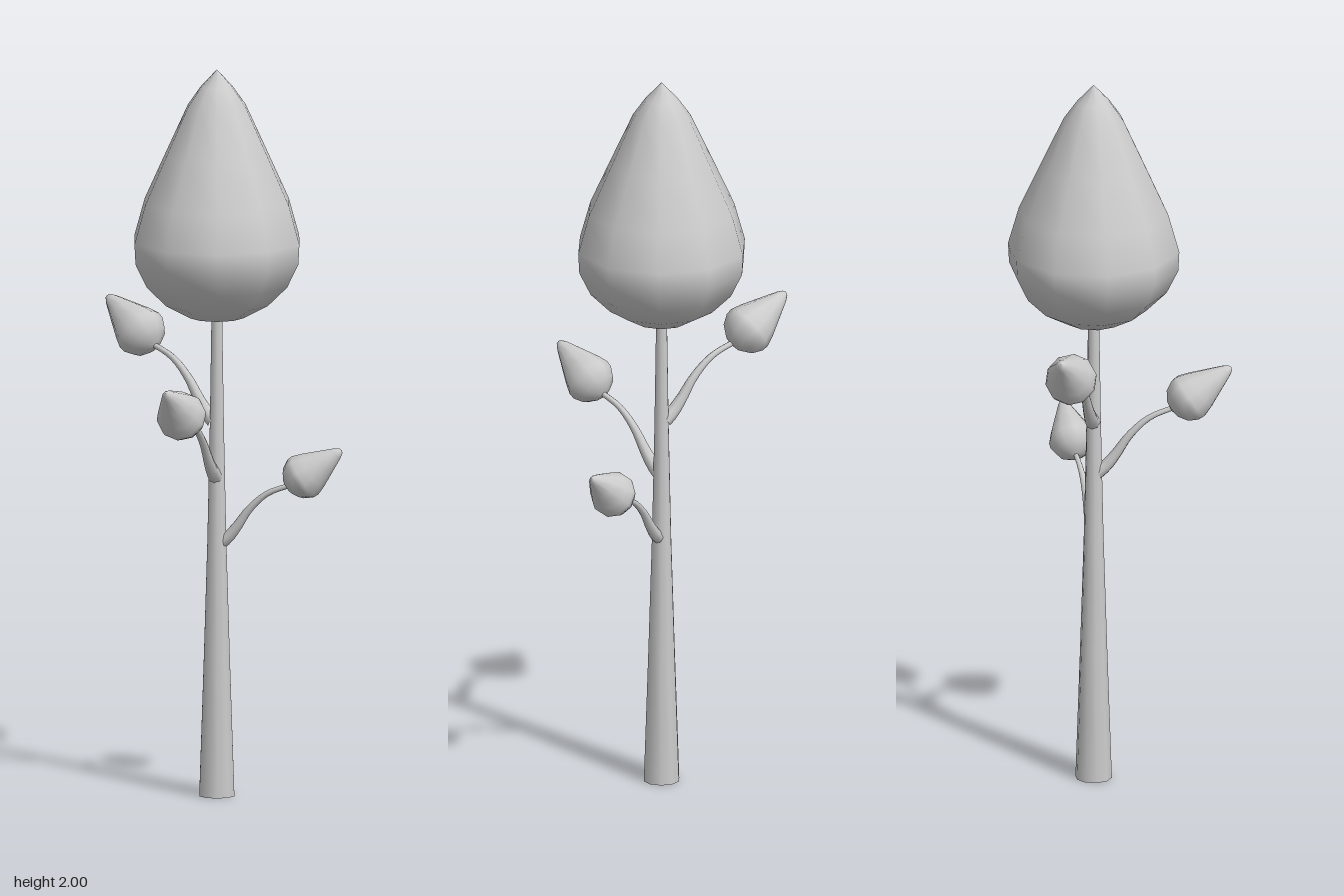
import * as THREE from 'three';

const SIDES = 10;
const material = new THREE.MeshStandardMaterial({ color: 0xcccccc });

// Smooth ten-sided solid turned from [radius, height] pairs, bottom to top
function turned(name, profile) {
  const points = profile.map(([r, y]) => new THREE.Vector2(r, y));
  const geometry = new THREE.LatheGeometry(points, SIDES);
  geometry.rotateY(Math.PI / 10); // a corner faces +x
  const mesh = new THREE.Mesh(geometry, material);
  mesh.name = name;
  return mesh;
}

// Tube whose rings shrink from r0 to r1 along the path
function taperedTube(name, path, r0, r1, segments = 14, sides = 8) {
  const geometry = new THREE.TubeGeometry(path, segments, 1, sides);
  const pos = geometry.attributes.position;
  const p = new THREE.Vector3();
  for (let i = 0; i <= segments; i++) {
    const t = i / segments;
    const centre = path.getPointAt(t);
    const r = r1 + (r0 - r1) * (1 - t) ** 2;
    for (let j = 0; j <= sides; j++) {
      const k = i * (sides + 1) + j;
      p.fromBufferAttribute(pos, k).sub(centre).multiplyScalar(r).add(centre);
      pos.setXYZ(k, p.x, p.y, p.z);
    }
  }
  const mesh = new THREE.Mesh(geometry, material);
  mesh.name = name;
  return mesh;
}

// Curved twig with a pointed leaf bud, growing towards +x
function makeBranch() {
  const branch = new THREE.Group();
  branch.name = 'branch';
  const path = new THREE.CatmullRomCurve3([
    [0.008, -0.005], [0.03, 0.012], [0.055, 0.042], [0.09, 0.092], [0.14, 0.137], [0.21, 0.165],
  ].map(([x, y]) => new THREE.Vector3(x, y, 0)));
  branch.add(taperedTube('twig', path, 0.019, 0.007));

  const bud = turned('leafBud', [
    [0, 0], [0.025, 0.006], [0.049, 0.022], [0.062, 0.046], [0.063, 0.062],
    [0.054, 0.088], [0.036, 0.128], [0.016, 0.172], [0.008, 0.184], [0, 0.188],
  ]);
  bud.position.set(0.195, 0.155, 0);
  bud.rotation.z = Math.atan2(0.11, 0.152) - Math.PI / 2;
  branch.add(bud);
  return branch;
}

export function createModel() {
  const tree = new THREE.Group();
  tree.name = 'tree';

  // Tapering trunk with a flat foot
  tree.add(turned('trunk', [[0.05, 0], [0.037, 0.38], [0.027, 0.7], [0.02, 1.02], [0.015, 1.34]]));
  const foot = new THREE.Mesh(new THREE.CircleGeometry(0.05, SIDES), material);
  foot.name = 'trunkFoot';
  foot.rotation.x = Math.PI / 2;
  tree.add(foot);

  // Large teardrop crown
  tree.add(turned('crown', [
    [0, 1.306], [0.075, 1.318], [0.145, 1.356], [0.2, 1.41], [0.232, 1.475],
    [0.235, 1.53], [0.205, 1.635], [0.145, 1.765], [0.082, 1.9], [0.045, 1.952], [0, 2],
  ]));

  // Three side branches: height, heading, size
  for (const [y, heading, size] of [
    [0.7, 0.086, 1],
    [0.885, -1.637, 1.08],
    [1.035, 2.752, 1.12],
  ]) {
    const branch = makeBranch();
    branch.position.y = y;
    branch.rotation.y = heading;
    branch.scale.setScalar(size);
    tree.add(branch);
  }

  // The trunk stands slightly behind the middle
  tree.position.set(0.005, 0, -0.077);
  const model = new THREE.Group();
  model.add(tree);
  return model;
}
